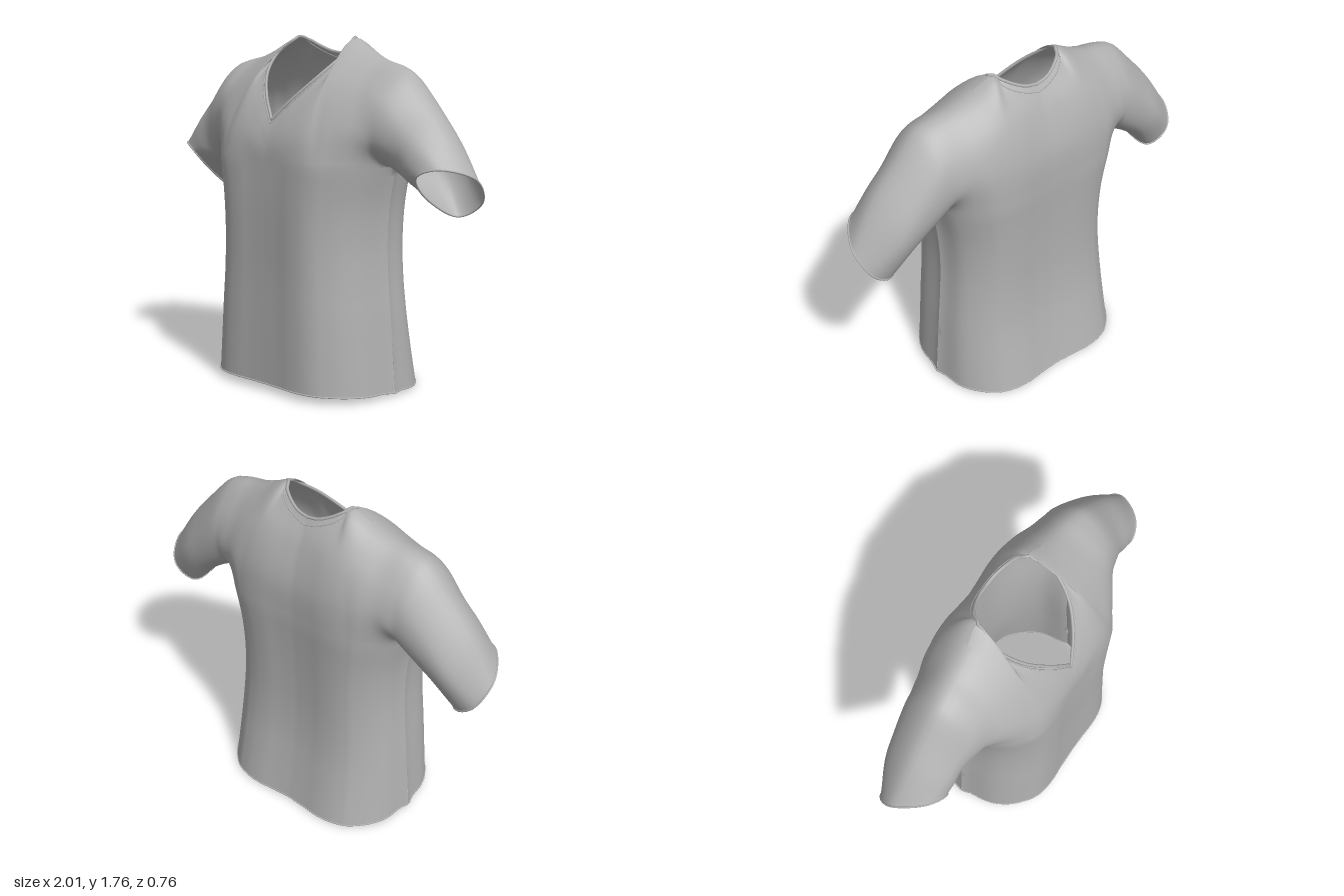
import * as THREE from 'three';
import { mergeGeometries, mergeVertices } from 'three/addons/utils/BufferGeometryUtils.js';

const V = (x, y, z) => new THREE.Vector3(x, y, z);
const ARMPIT = 8, CUFF = 11, NECK = 4; // column numbers on the half-shirt net
const CHEST = 1.14;                    // height where the trunk meets the yoke
const STEPS = 5;

// Half-shirt columns from the centre line to the cuff; each runs chest -> neckline or shoulder ridge
const FRONT = [
  [V(0, 1.14, .36), V(0, 1.22, .355), V(0, 1.29, .34), V(0, 1.36, .31)],
  [V(.1, 1.14, .362), V(.1, 1.26, .352), V(.1, 1.37, .31), V(.1, 1.47, .25)],
  [V(.19, 1.14, .367), V(.19, 1.3, .34), V(.19, 1.45, .265), V(.19, 1.58, .16)],
  [V(.27, 1.14, .362), V(.26, 1.32, .325), V(.245, 1.52, .215), V(.235, 1.68, .04)],
  [V(.33, 1.14, .345), V(.31, 1.34, .3), V(.26, 1.57, .17), V(.205, 1.755, -.07)],
  [V(.38, 1.14, .315), V(.37, 1.35, .28), V(.34, 1.56, .15), V(.31, 1.7, -.06)],
  [V(.45, 1.14, .25), V(.45, 1.34, .25), V(.44, 1.53, .145), V(.42, 1.655, -.05)],
  [V(.505, 1.14, .15), V(.52, 1.3, .21), V(.53, 1.5, .15), V(.53, 1.63, -.04)],
  [V(.535, 1.14, -.01), V(.57, 1.24, .17), V(.6, 1.44, .155), V(.62, 1.59, -.03)],
  [V(.62, 1.1, 0), V(.66, 1.18, .14), V(.7, 1.34, .14), V(.74, 1.465, -.03)],
  [V(.7, 1.06, .02), V(.73, 1.14, .145), V(.8, 1.26, .13), V(.87, 1.315, -.03)],
  [V(.78, 1.02, .05), V(.8, 1.13, .15), V(.91, 1.17, .105), V(1, 1.12, -.04)],
];
// Back columns; sleeve bottoms and shoulder ridge are shared with the front
const BACK = [
  [V(0, 1.14, -.3), V(0, 1.35, -.295), V(0, 1.54, -.24), V(0, 1.675, -.17)],
  [V(.1, 1.14, -.305), V(.09, 1.36, -.3), V(.075, 1.56, -.24), V(.06, 1.685, -.165)],
  [V(.19, 1.14, -.312), V(.18, 1.37, -.305), V(.155, 1.57, -.245), V(.12, 1.71, -.145)],
  [V(.27, 1.14, -.308), V(.26, 1.38, -.3), V(.22, 1.59, -.235), V(.17, 1.74, -.115)],
  [V(.33, 1.14, -.295), V(.32, 1.38, -.29), V(.27, 1.6, -.22)],
  [V(.38, 1.14, -.275), V(.38, 1.37, -.28), V(.35, 1.57, -.21)],
  [V(.45, 1.14, -.22), V(.45, 1.36, -.255), V(.44, 1.54, -.19)],
  [V(.505, 1.14, -.14), V(.52, 1.31, -.235), V(.53, 1.5, -.19)],
  [null, V(.57, 1.22, -.2), V(.6, 1.43, -.205)],
  [null, V(.67, 1.13, -.18), V(.715, 1.31, -.2)],
  [null, V(.75, 1.04, -.15), V(.83, 1.17, -.19)],
  [null, V(.835, .925, -.11), V(.96, 1, -.14)],
].map((c, i) => [c[0] || FRONT[i][0], c[1], c[2], c[3] || FRONT[i][3]]);

// Trunk profiles from hem to chest
const WIDTH = [.54, .525, .51, .493, .485, .497, .535];
const FRONT_DEPTH = [1.04, 1.03, 1.02, 1.01, 1.01, 1.01, 1];
const BACK_DEPTH = [1.2, 1.08, .98, .935, .935, .96, 1];

// Smooth interpolation between b and c
function spline(a, b, c, d, t) {
  const t2 = t * t, t3 = t2 * t;
  return .5 * (2 * b + (c - a) * t + (2 * a - 5 * b + 4 * c - d) * t2 + (3 * b - a - 3 * c + d) * t3);
}
const splineV = (a, b, c, d, t) =>
  V(spline(a.x, b.x, c.x, d.x, t), spline(a.y, b.y, c.y, d.y, t), spline(a.z, b.z, c.z, d.z, t));
const beyond = (p, q) => p.clone().multiplyScalar(2).sub(q);

// Point at parameter s (0..1) along a list, with given end neighbours
function along(list, s, before, after) {
  const n = list.length - 1, i = Math.min(Math.floor(s * n + 1e-9), n - 1);
  return splineV(list[i - 1] || before, list[i], list[i + 1], list[i + 2] || after, s * n - i);
}
function profile(list, s) {
  return along(list.map(v => V(v, 0, 0)), s, V(2 * list[0] - list[1], 0, 0),
    V(2 * list[6] - list[5], 0, 0)).x;
}

// Yoke and sleeve surface: u = column, v = chest to ridge
function upper(side, u, v) {
  const other = side === FRONT ? BACK : FRONT;
  const row = side.map((c, i) => along(c, v,
    i >= ARMPIT ? other[i][1] : c[0].clone().add(V(0, -.15, 0)),
    i >= NECK ? other[i][2] : beyond(c[3], c[2])));
  return along(row, u / CUFF, beyond(row[0], row[1]), beyond(row[CUFF], row[CUFF - 1]));
}

// Trunk surface: the chest line carried down to the sloping hem
function trunk(side, u, s) {
  const p = upper(side, u, 0);
  p.x *= profile(WIDTH, s) / .535;
  p.z *= profile(side === FRONT ? FRONT_DEPTH : BACK_DEPTH, s);
  p.y = s === 1 ? p.y : p.y - CHEST * (1 - s) + (1 - s) * (.02 + .045 * p.z);
  return p;
}

function sheet(fn, nu, nv, uMax, mirror, flip) {
  const pos = [], idx = [];
  for (let j = 0; j <= nv; j++) for (let i = 0; i <= nu; i++) {
    const p = fn(uMax * i / nu, j / nv);
    pos.push(p.x * mirror, p.y, p.z);
  }
  for (let j = 0; j < nv; j++) for (let i = 0; i < nu; i++) {
    const a = j * (nu + 1) + i, b = a + 1, c = a + nu + 1, d = c + 1;
    if (flip) idx.push(a, d, b, a, c, d);
    else idx.push(a, b, d, a, d, c);
  }
  const g = new THREE.BufferGeometry();
  g.setAttribute('position', new THREE.Float32BufferAttribute(pos, 3));
  g.setIndex(idx);
  return g;
}

export function createModel() {
  const group = new THREE.Group();
  const cloth = new THREE.MeshStandardMaterial({ color: 0xb0b0b0, side: THREE.DoubleSide });
  cloth.name = 'grey cloth';
  const add = (name, geometry) => {
    const mesh = new THREE.Mesh(geometry, cloth);
    mesh.name = name;
    group.add(mesh);
  };

  // Shirt body with sleeves, welded into one smooth surface
  const sheets = [];
  for (const side of [FRONT, BACK]) for (const m of [1, -1]) {
    const flip = (side === BACK) !== (m === -1);
    sheets.push(sheet((u, v) => upper(side, u, v), CUFF * STEPS, 18, CUFF, m, flip));
    sheets.push(sheet((u, s) => trunk(side, u, s), ARMPIT * STEPS, 24, ARMPIT, m, flip));
  }
  const body = mergeVertices(mergeGeometries(sheets), 1e-4);
  body.computeVertexNormals();
  add('shirtBody', body);

  // Rolled edges on the openings
  const edge = (name, points, radius) => add(name, new THREE.TubeGeometry(
    new THREE.CatmullRomCurve3(points, true), points.length * 2, radius, 6, true));
  const range = n => Array.from({ length: n }, (_, i) => i / n);
  const flipX = p => V(-p.x, p.y, p.z);
  const ring = (fn, uMax) => {
    const half = [...range(20).map(t => fn(FRONT, uMax * t)), ...range(20).map(t => fn(BACK, uMax * (1 - t))),
      fn(BACK, 0)];
    return [...half, ...half.slice(1, -1).reverse().map(flipX)];
  };
  edge('neckBand', ring((side, u) => upper(side, u, 1), NECK), .008);
  edge('hemEdge', ring((side, u) => trunk(side, u, 0), ARMPIT), .004);
  const cuff = [...range(14).map(t => upper(FRONT, CUFF, t)), ...range(14).map(t => upper(BACK, CUFF, 1 - t))];
  edge('leftCuff', cuff, .005);
  edge('rightCuff', cuff.map(flipX), .005);

  // Stitch line just outside the neck band
  edge('neckStitch', ring((side, u) => upper(side, u, 1 - .09 * Math.max(0, 1 - u / NECK) ** .5), NECK), .003);
  return group;
}
